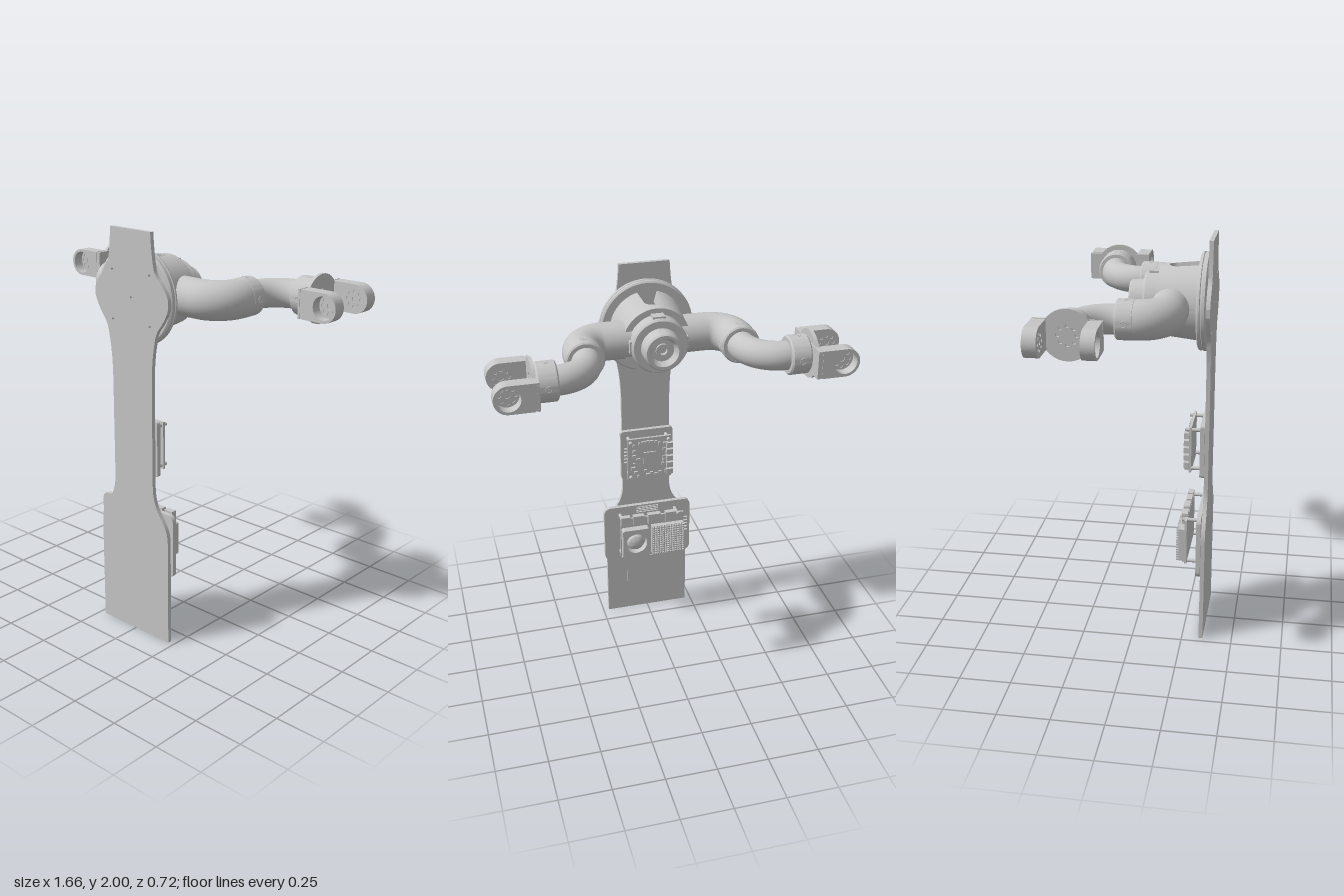
import * as THREE from 'three';
import { mergeGeometries, toCreasedNormals } from 'three/addons/utils/BufferGeometryUtils.js';

const grey = new THREE.MeshStandardMaterial({ color: 0xc6c6c6 });
grey.name = 'plainGrey';
const CY = 1.69; // height of the hub and arm axes

function add(parent, name, geo, x = 0, y = 0, z = 0) {
  const m = new THREE.Mesh(geo, grey);
  m.name = name;
  m.position.set(x, y, z);
  parent.add(m);
  return m;
}
function group(parent, name) {
  const g = new THREE.Group();
  g.name = name;
  parent.add(g);
  return g;
}
const box = (p, name, w, h, d, x, y, z) => add(p, name, new THREE.BoxGeometry(w, h, d), x, y, z);
const extrude = (shape, depth) => new THREE.ExtrudeGeometry(shape, { depth, bevelEnabled: false, curveSegments: 20 });
const lathe = (pts) => toCreasedNormals(new THREE.LatheGeometry(pts.map((p) => new THREE.Vector2(...p)), 64), 0.5);
const drum = (r, h, c) => lathe([[0, -h], [r - c, -h], [r, c - h], [r, h - c], [r - c, h], [0, h]]);

function cutCircle(shape, x, y, r) {
  const p = new THREE.Path();
  p.absarc(x, y, r, 0, Math.PI * 2, true);
  shape.holes.push(p);
}
function cutBoltRing(shape, x, ring, r) {
  for (let i = 0; i < 8; i++) {
    const a = i * Math.PI / 4;
    cutCircle(shape, x + Math.cos(a) * ring, Math.sin(a) * ring, r);
  }
}
function roundedRect(w, h, r) {
  const s = new THREE.Shape(), x = w / 2, y = h / 2;
  s.absarc(x - r, y - r, r, 0, Math.PI / 2);
  s.absarc(r - x, y - r, r, Math.PI / 2, Math.PI);
  s.absarc(r - x, r - y, r, Math.PI, Math.PI * 1.5);
  s.absarc(x - r, r - y, r, Math.PI * 1.5, Math.PI * 2);
  return s;
}
function cutSlot(shape, x, y, w, h) {
  const p = new THREE.Path();
  p.moveTo(x - w / 2, y - h / 2).lineTo(x - w / 2, y + h / 2).lineTo(x + w / 2, y + h / 2).lineTo(x + w / 2, y - h / 2);
  p.closePath();
  shape.holes.push(p);
}

// Long front plate with five screw holes
function backbone(root) {
  const s = new THREE.Shape();
  s.moveTo(-0.22, 0).lineTo(0.22, 0).lineTo(0.22, 0.53);
  s.bezierCurveTo(0.22, 0.65, 0.125, 0.65, 0.125, 0.8);
  s.lineTo(0.125, 1.26).bezierCurveTo(0.125, 1.36, 0.13, 1.43, 0.145, 1.5);
  s.quadraticCurveTo(0.152, 1.55, 0.18, 1.58).quadraticCurveTo(0.215, 1.625, 0.23, 1.67);
  s.lineTo(0.23, 1.71).quadraticCurveTo(0.215, 1.75, 0.18, 1.785).quadraticCurveTo(0.15, 1.81, 0.143, 1.84);
  s.quadraticCurveTo(0.13, 1.9, 0.125, 2);
  s.lineTo(-0.125, 2).quadraticCurveTo(-0.13, 1.9, -0.143, 1.84);
  s.quadraticCurveTo(-0.15, 1.81, -0.18, 1.785).quadraticCurveTo(-0.215, 1.75, -0.23, 1.71);
  s.lineTo(-0.23, 1.67).quadraticCurveTo(-0.215, 1.625, -0.18, 1.58).quadraticCurveTo(-0.152, 1.55, -0.145, 1.5);
  s.bezierCurveTo(-0.13, 1.43, -0.125, 1.36, -0.125, 1.26);
  s.lineTo(-0.125, 0.8).bezierCurveTo(-0.125, 0.65, -0.22, 0.65, -0.22, 0.53);
  for (const [x, y] of [[0, CY], [0.117, 1.805], [-0.117, 1.805], [0.117, 1.572], [-0.117, 1.572]]) cutCircle(s, x, y, 0.007);
  add(root, 'backbonePlate', extrude(s, 0.02), 0, 0, 0.335);
  box(root, 'rearPad', 0.22, 0.18, 0.006, 0, 0.24, 0.333);
}

// Hub wall: a ring of cross-sections whose front edge rises into arched windows
function hubWall() {
  const n = 240, pos = [], idx = [];
  for (let i = 0; i < n; i++) {
    const a = i / n * Math.PI * 2;
    const off = Math.min(Math.abs(a - Math.PI / 2), Math.abs(a - Math.PI * 1.5)) / 0.25;
    const v = off < 1 ? 0.19 - 0.048 * Math.sqrt(1 - off * off) : 0.292;
    const r = 0.165 + (v - 0.1) * 0.11;
    for (const [rad, z] of [[r, v], [0.165, 0.1], [0.13, 0.1], [0.13, v]]) pos.push(Math.cos(a) * rad, Math.sin(a) * rad, z);
    for (let k = 0; k < 4; k++) {
      const p = i * 4 + k, q = i * 4 + (k + 1) % 4, j = ((i + 1) % n) * 4;
      const p2 = j + k, q2 = j + (k + 1) % 4;
      idx.push(p, q2, p2, p, q, q2);
    }
  }
  const g = new THREE.BufferGeometry();
  g.setAttribute('position', new THREE.Float32BufferAttribute(pos, 3));
  g.setIndex(idx);
  return toCreasedNormals(g, 0.5);
}

function hub(root) {
  const h = group(root, 'hub');
  h.position.y = CY;
  const axial = (name, pts) => { add(h, name, lathe(pts)).rotation.x = -Math.PI / 2; };
  axial('hubFlange', [[0, -0.335], [0.222, -0.335], [0.232, -0.328], [0.232, -0.314], [0.228, -0.311],
    [0.228, -0.307], [0.232, -0.304], [0.23, -0.295], [0.223, -0.289], [0, -0.289]]);
  axial('hubCore', [[0.115, -0.3], [0.115, -0.1], [0.135, -0.1], [0.135, -0.04], [0.128, -0.03], [0.094, -0.03],
    [0.09, 0.034], [0.084, 0.042], [0.07, 0.042], [0.055, 0.008], [0.034, 0.008], [0.034, 0.018], [0.02, 0.018], [0.016, 0.006], [0, 0.006]]);
  add(h, 'hubWall', hubWall());
  // lugs around the rear step
  for (let i = 0; i < 4; i++) {
    const a = i * Math.PI / 2;
    box(h, 'hubLug', 0.02, 0.06, 0.05, Math.cos(a) * 0.132, Math.sin(a) * 0.132, 0.076).rotation.z = a;
  }
}

// Clamp collar around local y with four nearly flush screws
function collar(parent, name, r, half) {
  const c = group(parent, name);
  add(c, 'collarBand', drum(r, half, 0.007));
  for (let i = 0; i < 4; i++) {
    const s = group(c, 'collarScrew');
    s.rotation.y = i * Math.PI / 2;
    add(s, 'screwRim', new THREE.TorusGeometry(0.014, 0.003, 8, 20), r - 0.002, 0, 0).rotation.y = Math.PI / 2;
    add(s, 'screwHead', new THREE.CylinderGeometry(0.007, 0.007, 0.004, 6), r - 0.001, 0, 0).rotation.z = Math.PI / 2;
  }
  return c;
}

// Straight run, quarter bend, straight run
function elbow(points, r) {
  const [a, b, corner, c, d] = points.map(([x, z]) => new THREE.Vector3(x, 0, z));
  const path = new THREE.CurvePath();
  path.add(new THREE.LineCurve3(a, b));
  path.add(new THREE.CubicBezierCurve3(b, b.clone().lerp(corner, 0.552), c.clone().lerp(corner, 0.552), c));
  path.add(new THREE.LineCurve3(c, d));
  return new THREE.TubeGeometry(path, 48, r, 40);
}

// Tongue with a round end, always wound counter-clockwise
function prongShape(s) {
  const p = new THREE.Shape(), start = -s * Math.PI / 2;
  p.moveTo(s * 0.652, -s * 0.067).lineTo(s * 0.765, -s * 0.067);
  p.absarc(s * 0.765, 0, 0.067, s > 0 ? start : Math.PI / 2, s > 0 ? Math.PI / 2 : Math.PI * 1.5);
  p.lineTo(s * 0.652, s * 0.067);
  p.closePath();
  return p;
}

function arm(root, s) {
  const a = group(root, s > 0 ? 'leftArm' : 'rightArm');
  a.position.y = CY;
  add(a, 'upperElbow', elbow([[s * 0.1, 0.165], [s * 0.25, 0.165], [s * 0.37, 0.165], [s * 0.37, 0.042], [s * 0.37, 0.02]], 0.091));
  const c1 = collar(a, 'upperCollar', 0.092, 0.043);
  c1.position.set(s * 0.37, 0, -0.002);
  c1.rotation.x = Math.PI / 2;
  add(a, 'lowerElbow', elbow([[s * 0.37, 0], [s * 0.37, -0.045], [s * 0.37, -0.207], [s * 0.53, -0.207], [s * 0.6, -0.207]], 0.068));
  const c2 = collar(a, 'lowerCollar', 0.092, 0.048);
  c2.position.set(s * 0.582, 0, -0.207);
  c2.rotation.z = Math.PI / 2;

  // Clevis: drilled disc, bridge bar and two cupped prongs
  const disc = new THREE.Shape();
  disc.absarc(0, 0, 0.115, 0, Math.PI * 2);
  cutBoltRing(disc, 0, 0.042, 0.009);
  add(a, 'clevisDisc', extrude(disc, 0.016).translate(0, 0, -0.008).rotateY(Math.PI / 2), s * 0.644, 0, -0.207);
  box(a, 'clevisBridge', 0.01, 0.134, 0.306, s * 0.635, 0, -0.207);
  const cup = prongShape(s), floor = prongShape(s);
  cutCircle(cup, s * 0.765, 0, 0.054);
  cutBoltRing(floor, s * 0.765, 0.035, 0.009);
  cutCircle(floor, s * 0.765, 0, 0.014);
  for (const [side, cupZ, floorZ, rootZ] of [['front', -0.104, -0.116, -0.085], ['rear', -0.36, -0.31, -0.329]]) {
    add(a, side + 'ProngCup', extrude(cup, 0.05), 0, 0, cupZ);
    add(a, side + 'ProngFloor', extrude(floor, 0.012), 0, 0, floorZ);
    add(a, side + 'ProngHorn', new THREE.CylinderGeometry(0.05, 0.05, 0.004, 32), s * 0.765, 0, floorZ + 0.006).rotation.x = Math.PI / 2;
    box(a, side + 'ProngRoot', 0.022, 0.13, 0.058, s * 0.645, 0, rootZ);
  }
}

function standoffs(parent, xs, ys) {
  for (const x of xs) for (const y of ys) {
    add(parent, 'standoff', new THREE.CylinderGeometry(0.009, 0.009, 0.085, 16), x, y, 0.28).rotation.x = Math.PI / 2;
  }
}

// Small controller board with chips and a row of ports
function controller(root) {
  const g = group(root, 'controllerBoard');
  const tray = roundedRect(0.275, 0.275, 0.015);
  for (let i = 0; i < 5; i++) cutSlot(tray, 0.114, -0.04 + i * 0.02, 0.016, 0.008);
  add(g, 'tray', extrude(tray, 0.022), 0, 0.98, 0.313);
  standoffs(g, [-0.1, 0.1], [0.88, 1.08]);
  box(g, 'circuitBoard', 0.23, 0.235, 0.012, 0, 0.98, 0.264);
  box(g, 'mainChip', 0.065, 0.065, 0.01, 0, 0.985, 0.255);
  for (let i = 0; i < 5; i++) box(g, 'port', 0.032, 0.028, 0.026, -0.103, 0.9 + i * 0.038, 0.246);
  let seed = 7;
  const rnd = () => (seed = (seed * 16807) % 2147483647) / 2147483647;
  for (let i = 0; i < 26; i++) {
    const a = i / 26 * Math.PI * 2, c = Math.cos(a), n = Math.sin(a);
    const d = (0.06 + rnd() * 0.03) / Math.max(Math.abs(c), Math.abs(n));
    box(g, 'component', 0.008 + rnd() * 0.014, 0.008 + rnd() * 0.012, 0.01 + rnd() * 0.008, c * d, 0.98 + n * d * 1.1, 0.255);
  }
}

// Larger computer board with blower, finned cooler and top connectors
function computer(root) {
  const g = group(root, 'computerBoard');
  const tray = roundedRect(0.47, 0.325, 0.035);
  for (let i = 0; i < 5; i++) cutSlot(tray, -0.205, -0.03 + i * 0.02, 0.035, 0.008);
  for (let i = 0; i < 4; i++) cutSlot(tray, 0, 0.12 + i * 0.01, 0.12, 0.005);
  add(g, 'tray', extrude(tray, 0.022), 0, 0.508, 0.313);
  standoffs(g, [-0.15, 0.15], [0.4, 0.625]);
  box(g, 'circuitBoard', 0.345, 0.235, 0.012, -0.01, 0.515, 0.256);
  [[0.135, 0.05], [0.065, 0.06], [-0.02, 0.07], [-0.11, 0.06]].forEach(([x, w]) => box(g, 'connector', w, 0.055, 0.028, x, 0.622, 0.247));
  const housing = roundedRect(0.145, 0.17, 0.01);
  cutCircle(housing, 0, 0, 0.058);
  add(g, 'blowerHousing', extrude(housing, 0.04), 0.085, 0.495, 0.212);
  const dome = lathe([[0.046, 0], [0.046, 0.02], [0.04, 0.032], [0.026, 0.04], [0, 0.044]]);
  add(g, 'blowerDome', dome, 0.085, 0.495, 0.252).rotation.x = -Math.PI / 2;
  box(g, 'coolerBase', 0.175, 0.17, 0.03, -0.09, 0.495, 0.237);
  const pins = [];
  for (let i = 0; i < 13; i++) for (let j = 0; j < 13; j++) {
    pins.push(new THREE.BoxGeometry(0.008, 0.008, 0.014).translate(-0.172 + i * 0.01365, 0.415 + j * 0.0133, 0.217));
  }
  add(g, 'coolerPins', mergeGeometries(pins));
}

export function createModel() {
  const root = new THREE.Group();
  root.name = 'armFrame';
  backbone(root);
  hub(root);
  for (const s of [1, -1]) arm(root, s);
  controller(root);
  computer(root);
  return root;
}
